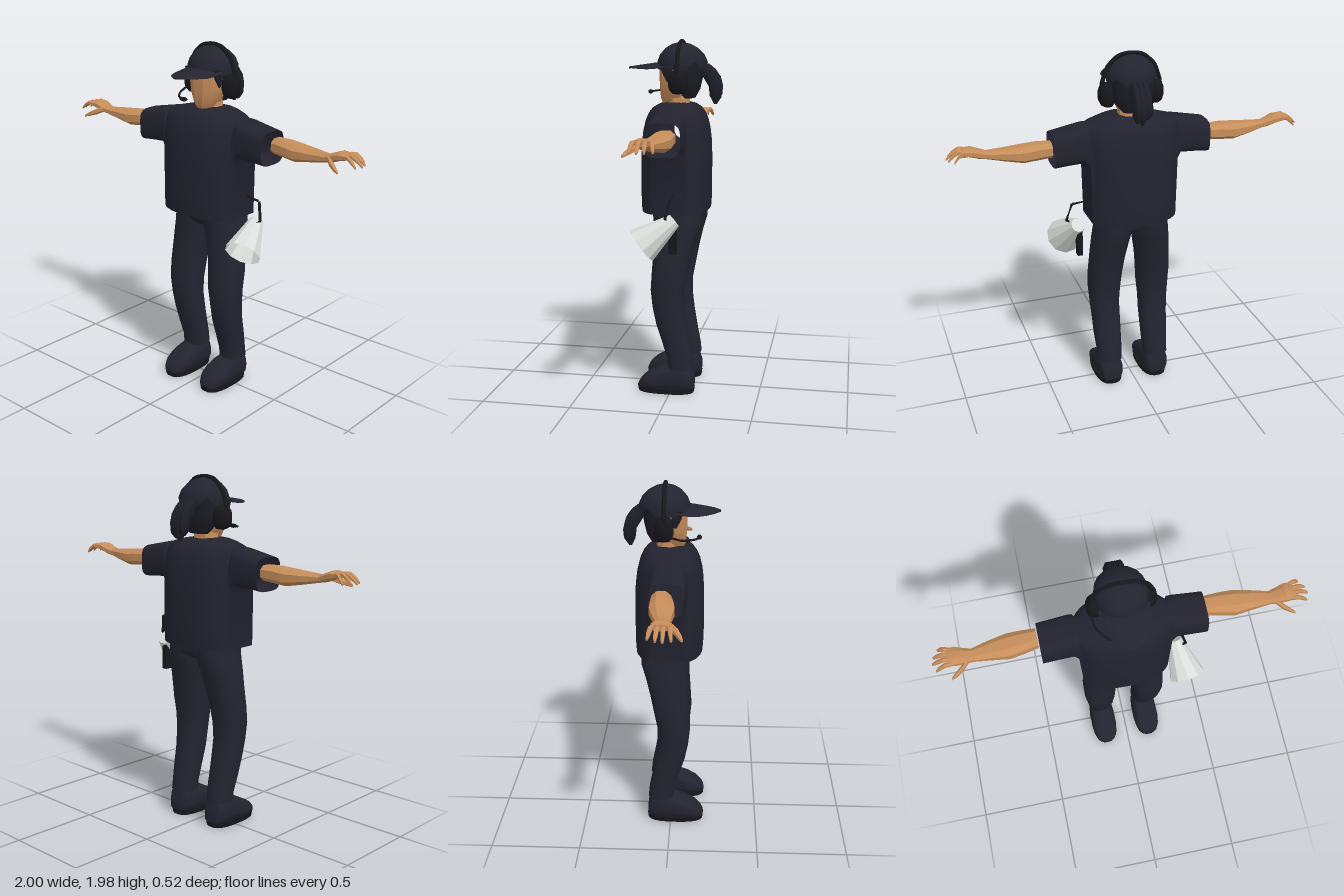
import * as THREE from 'three';
import { toCreasedNormals } from 'three/addons/utils/BufferGeometryUtils.js';

const mat = (name, color, side = THREE.FrontSide) => {
  const m = new THREE.MeshStandardMaterial({ color, side });
  m.name = name;
  return m;
};

// Axis order per loft direction: [along, u, v] as x/y/z indices
const AXES = { x: [0, 2, 1], y: [1, 0, 2], z: [2, 1, 0] };

// Lofts rounded sections; each row is [along, uMin, uMax, vMin, vMax], power < 1 is squarer
function loft(axis, rows, { n = 14, power = 0.8, caps = true } = {}) {
  const [A, U, V] = AXES[axis], pos = [], idx = [];
  const put = (a, u, v) => {
    const p = [0, 0, 0];
    p[A] = a; p[U] = u; p[V] = v;
    pos.push(...p);
  };
  const bend = c => Math.sign(c) * Math.pow(Math.abs(c), power);
  for (const [a, u0, u1, v0, v1] of rows) {
    for (let j = 0; j < n; j++) {
      const t = ((j + 0.5) / n) * Math.PI * 2;
      put(a, (u0 + u1) / 2 + bend(Math.cos(t)) * (u1 - u0) / 2,
        (v0 + v1) / 2 + bend(Math.sin(t)) * (v1 - v0) / 2);
    }
  }
  for (let i = 0; i < rows.length - 1; i++) {
    for (let j = 0; j < n; j++) {
      const a = i * n + j, c = i * n + (j + 1) % n;
      idx.push(a, a + n, c, c, a + n, c + n);
    }
  }
  if (caps) {
    const last = rows.length - 1;
    for (const i of [0, last]) {
      const [a, u0, u1, v0, v1] = rows[i], k = pos.length / 3;
      put(a, (u0 + u1) / 2, (v0 + v1) / 2);
      for (let j = 0; j < n; j++) {
        const p = i * n + j, q = i * n + (j + 1) % n;
        if (i === 0) idx.push(k, p, q); else idx.push(k, q, p);
      }
    }
  }
  const g = new THREE.BufferGeometry();
  g.setAttribute('position', new THREE.Float32BufferAttribute(pos, 3));
  g.setIndex(idx);
  return g;
}

// Symmetric rows about x = 0 for lofts along y: [y, halfWidth, zMin, zMax]
const sym = (rows, x = 0) => rows.map(([y, w, a, b]) => [y, x - w, x + w, a, b]);

function mirrored(geo) {
  const g = geo.clone().scale(-1, 1, 1);
  g.setIndex(Array.from(geo.index.array).reverse());
  return g;
}

const tube = (pts, r, seg = 16) => new THREE.TubeGeometry(
  new THREE.CatmullRomCurve3(pts.map(p => new THREE.Vector3(...p)), false, 'catmullrom', 0.3), seg, r, 6);

export function createModel() {
  const root = new THREE.Group();
  const cloth = mat('dark cloth', 0x242430);
  const shirtCloth = mat('shirt cloth', 0x232330, THREE.DoubleSide);
  const skin = mat('skin', 0xc68d5a);
  const black = mat('black plastic', 0x17171c);
  const hairMat = mat('dark hair', 0x1e1e28);
  const pale = mat('pale grey', 0xdadeda, THREE.DoubleSide);

  const add = (name, geo, m, crease = 0.8) => {
    const mesh = new THREE.Mesh(toCreasedNormals(geo, crease), m);
    mesh.name = name;
    root.add(mesh);
    return mesh;
  };
  const pair = (name, geo, m, crease) => {
    add('left' + name, geo, m, crease);
    add('right' + name, mirrored(geo), m, crease);
  };

  // Shirt: hollow, lofted from sleeve to sleeve with a flat hem
  const half = [
    [0.07, -0.198, 0.178, 0.8, 1.642], [0.13, -0.19, 0.168, 0.8, 1.632],
    [0.19, -0.165, 0.145, 0.8, 1.617], [0.222, -0.135, 0.12, 0.8, 1.61],
    [0.24, -0.112, 0.098, 0.82, 1.605], [0.25, -0.107, 0.092, 1.34, 1.602],
    [0.275, -0.106, 0.09, 1.393, 1.598], [0.35, -0.105, 0.09, 1.39, 1.583],
    [0.44, -0.105, 0.09, 1.383, 1.565]];
  const shirtRows = [...half.map(([x, ...r]) => [-x, ...r]).reverse(), [0, -0.2, 0.18, 0.8, 1.642], ...half];
  const shirt = loft('x', shirtRows, { n: 32, power: 0.55, caps: false });
  const sp = shirt.attributes.position;
  for (let i = 0; i < sp.count; i++) sp.setY(i, Math.max(sp.getY(i), 1.045));
  add('shirt', shirt, shirtCloth, 1);

  // Trousers
  add('trouserSeat', loft('y', sym([[0.97, 0.09, -0.12, 0.07], [1.0, 0.185, -0.165, 0.1],
    [1.05, 0.2, -0.165, 0.11], [1.1, 0.2, -0.16, 0.11]]), { n: 18 }), cloth, 1);
  pair('TrouserLeg', loft('y', [
    [0.145, 0.07, 0.215, -0.13, 0.015], [0.2, 0.068, 0.213, -0.125, 0.02], [0.3, 0.065, 0.222, -0.105, 0.05],
    [0.4, 0.063, 0.225, -0.088, 0.082], [0.5, 0.063, 0.232, -0.075, 0.102], [0.6, 0.053, 0.24, -0.075, 0.112],
    [0.7, 0.046, 0.24, -0.095, 0.106], [0.8, 0.035, 0.232, -0.115, 0.1], [0.9, 0.018, 0.222, -0.14, 0.1],
    [0.98, 0.003, 0.21, -0.165, 0.102], [1.06, 0, 0.2, -0.165, 0.108]], { n: 16 }), cloth, 1);

  // Shoes with soles and ankle collars
  pair('Shoe', loft('z', [
    [-0.13, 0.02, 0.1, 0.09, 0.19], [-0.11, 0.015, 0.15, 0.075, 0.205], [-0.03, 0.015, 0.16, 0.07, 0.21],
    [0.03, 0.015, 0.15, 0.066, 0.212], [0.09, 0.015, 0.125, 0.063, 0.215], [0.14, 0.015, 0.098, 0.07, 0.208],
    [0.175, 0.015, 0.065, 0.09, 0.19], [0.188, 0.02, 0.04, 0.11, 0.17]], { n: 16, power: 0.6 }), cloth, 1);
  pair('Sole', loft('y', [[0, 0.063, 0.215, -0.132, 0.188], [0.03, 0.06, 0.218, -0.136, 0.192]],
    { n: 20, power: 0.75 }), black);
  pair('AnkleCollar', loft('y', [[0.1, 0.075, 0.205, -0.12, 0.03], [0.172, 0.08, 0.2, -0.115, 0.012]]), cloth);

  // Forearms and hands
  pair('Arm', loft('x', [
    [0.447, -0.085, 0.018, 1.445, 1.532], [0.53, -0.09, 0.035, 1.438, 1.532], [0.6, -0.092, 0.045, 1.432, 1.525],
    [0.7, -0.07, 0.035, 1.45, 1.517], [0.79, -0.045, 0.028, 1.468, 1.51], [0.83, -0.052, 0.035, 1.475, 1.525],
    [0.87, -0.062, 0.042, 1.49, 1.54], [0.915, -0.062, 0.04, 1.502, 1.535]], { n: 8 }), skin, 0.45);
  const digit = pts => loft('x', pts.map(([x, y, z, r]) => [x, z - r, z + r, y - r, y + r]), { n: 6 });
  for (const [i, [z0, z1, tip]] of [[-0.048, -0.072, 0.965], [-0.023, -0.035, 0.992],
    [0.002, 0.0, 1.0], [0.028, 0.04, 0.985]].entries()) {
    const at = (t, y, r) => [0.9 + (tip - 0.9) * t, y, z0 + (z1 - z0) * t, r];
    pair('Finger' + (i + 1), digit([at(0, 1.52, 0.013), at(0.4, 1.523, 0.012),
      at(0.75, 1.503, 0.011), at(1, 1.482, 0.006)]), skin, 0.45);
  }
  pair('Thumb', digit([[0.815, 1.498, 0.018, 0.016], [0.85, 1.482, 0.05, 0.017],
    [0.885, 1.467, 0.072, 0.013], [0.912, 1.455, 0.086, 0.007]]), skin, 0.45);

  // Head and neck
  add('neck', loft('y', sym([[1.59, 0.075, -0.085, 0.04], [1.68, 0.065, -0.08, 0.035]]), { n: 10 }), skin, 0.45);
  add('head', loft('y', sym([[1.632, 0.045, -0.06, 0.068], [1.66, 0.063, -0.08, 0.08], [1.72, 0.09, -0.1, 0.085],
    [1.78, 0.1, -0.11, 0.086], [1.86, 0.1, -0.11, 0.086]]), { n: 12 }), skin, 0.45);

  // Hair, temple locks and ponytail
  add('hair', loft('y', sym([[1.665, 0.06, -0.11, -0.045], [1.71, 0.1, -0.135, -0.012],
    [1.77, 0.117, -0.15, 0.012], [1.86, 0.125, -0.165, 0.03]])), hairMat);
  pair('TempleLock', loft('y', [[1.755, 0.098, 0.104, 0.015, 0.03], [1.8, 0.085, 0.112, 0, 0.055],
    [1.85, 0.08, 0.118, 0, 0.07]], { n: 8 }), hairMat);
  for (const [x, lift] of [[-0.028, 0.03], [0, 0], [0.028, 0.015]]) {
    add('ponytailLock', loft('y', sym([[1.632 + lift, 0.006, -0.232, -0.215], [1.67 + lift / 2, 0.022, -0.258, -0.195],
      [1.73, 0.027, -0.262, -0.19], [1.78, 0.025, -0.25, -0.158], [1.82, 0.022, -0.222, -0.135],
      [1.85, 0.015, -0.185, -0.12]], x), { n: 8 }), hairMat);
  }

  // Cap with a bent brim
  add('cap', loft('y', sym([[1.82, 0.13, -0.165, 0.095], [1.86, 0.135, -0.178, 0.1], [1.9, 0.122, -0.16, 0.085],
    [1.935, 0.092, -0.125, 0.055], [1.957, 0.055, -0.085, 0.02], [1.966, 0.02, -0.05, -0.015]]), { n: 20, power: 0.95 }), cloth, 1);
  const brim = loft('z', [[0.03, 0.13], [0.09, 0.128], [0.14, 0.118], [0.19, 0.092], [0.23, 0.06], [0.255, 0.025], [0.262, 0.008]]
    .map(([z, w]) => {
      const y = 1.862 - 0.15 * (z - 0.03);
      return [z, y - 0.006, y + 0.006, -w, w];
    }), { n: 20, power: 1 });
  const bp = brim.attributes.position;
  for (let i = 0; i < bp.count; i++) bp.setY(i, bp.getY(i) - 1.6 * bp.getX(i) ** 2);
  add('capBrim', brim, cloth);

  // Headset: band, ear cups, microphone boom
  const z = -0.035;
  add('headband', tube([[-0.155, 1.74, z], [-0.163, 1.81, z], [-0.13, 1.905, z], [-0.07, 1.96, z], [0, 1.973, z],
    [0.07, 1.96, z], [0.13, 1.905, z], [0.163, 1.81, z], [0.155, 1.74, z]], 0.012, 32), black);
  pair('EarCup', loft('x', [[0.1, -0.075, 0.005, 1.705, 1.81], [0.115, -0.09, 0.016, 1.69, 1.825],
    [0.145, -0.09, 0.016, 1.69, 1.825], [0.165, -0.08, 0.01, 1.7, 1.812], [0.178, -0.06, -0.01, 1.725, 1.79]]), black);
  add('microphoneBoom', tube([[-0.16, 1.725, -0.01], [-0.15, 1.703, 0.06], [-0.1, 1.695, 0.125], [-0.045, 1.693, 0.15]], 0.006), black);
  const mic = new THREE.SphereGeometry(1, 10, 6).scale(0.027, 0.012, 0.014).translate(-0.045, 1.693, 0.15);
  add('microphone', mic, black, 1);

  // Megaphone hung at the left hip: horn, driver, grip and strap
  const wide = new THREE.Vector3(0.352, 0.895, 0.122), narrow = new THREE.Vector3(0.312, 1.03, -0.05);
  const axis = narrow.clone().sub(wide), len = axis.length();
  const turn = new THREE.Quaternion().setFromUnitVectors(new THREE.Vector3(0, 1, 0), axis.normalize());
  const profile = [[0.102, 0], [0.04, len], [0, len]].map(p => new THREE.Vector2(...p));
  const driver = new THREE.CylinderGeometry(0.018, 0.018, 0.06, 8).translate(0, len - 0.035, 0);
  for (const [name, geo, m] of [['megaphoneHorn', new THREE.LatheGeometry(profile, 10), pale], ['megaphoneDriver', driver, black]]) {
    const mesh = add(name, geo, m, 0.2);
    mesh.quaternion.copy(turn);
    mesh.position.copy(wide);
  }
  add('megaphoneGrip', new THREE.BoxGeometry(0.03, 0.15, 0.042).translate(0.305, 0.92, -0.04), black);
  const strap = [[0.225, 1.165, -0.035], [0.34, 1.153, -0.033], [0.368, 1.05, -0.01], [0.335, 1.03, -0.01]];
  strap.slice(1).forEach((p, i) => add('megaphoneStrap', tube([strap[i], p], 0.008, 1), black));

  return root;
}
